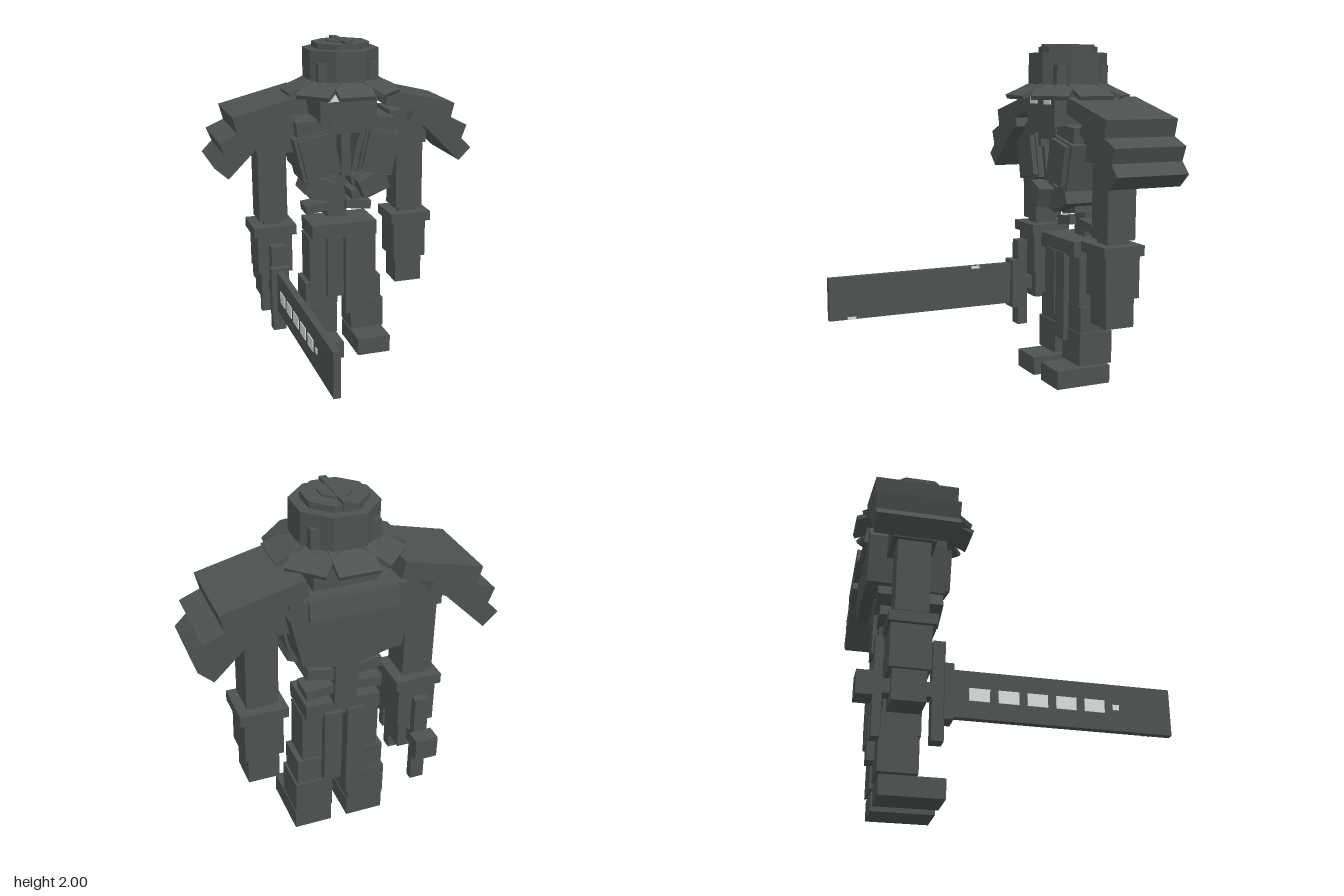
import * as THREE from 'three';

const stone = new THREE.MeshStandardMaterial({ color: 0x4c5251 });
stone.name = 'dark stone';
const glow = new THREE.MeshStandardMaterial({ color: 0xd9dcdb });
glow.name = 'pale glow';

export function createModel() {
  const model = new THREE.Group();
  model.name = 'stoneGuardian';

  const add = (name, geometry, material = stone) => {
    const mesh = new THREE.Mesh(geometry, material);
    mesh.name = name;
    model.add(mesh);
    return mesh;
  };
  // Box given by its limits on each axis, with an optional tilt about z
  const box = (name, x0, x1, y0, y1, z0, z1, tilt = 0, material = stone) => {
    const mesh = add(name, new THREE.BoxGeometry(x1 - x0, y1 - y0, z1 - z0), material);
    mesh.position.set((x0 + x1) / 2, (y0 + y1) / 2, (z0 + z1) / 2);
    mesh.rotation.z = tilt;
    return mesh;
  };
  // The same box on both sides; the tilt applies to the left (+x) one
  const pair = (name, x0, x1, y0, y1, z0, z1, tilt = 0, material = stone) => {
    box(name + 'Left', x0, x1, y0, y1, z0, z1, tilt, material);
    box(name + 'Right', -x1, -x0, y0, y1, z0, z1, -tilt, material);
  };
  // Front-facing outline extruded from z0 to z1
  const slab = (name, points, z0, z1) => {
    const shape = new THREE.Shape(points.map(([x, y]) => new THREE.Vector2(x, y)));
    const geometry = new THREE.ExtrudeGeometry(shape, { depth: z1 - z0, bevelEnabled: false });
    add(name, geometry.translate(0, 0, z0));
  };

  // Legs
  pair('foot', 0.048, 0.263, 0, 0.11, -0.67, -0.32);
  pair('ankle', 0.048, 0.263, 0.123, 0.32, -0.68, -0.465);
  pair('shin', 0.04, 0.25, 0.32, 0.475, -0.67, -0.475);
  pair('thigh', 0.03, 0.22, 0.475, 0.77, -0.66, -0.48);

  // Belt and hanging cloths
  box('belt', -0.208, 0.213, 0.77, 0.86, -0.7, -0.445);
  box('frontClothRight', -0.115, -0.01, 0.38, 0.78, -0.47, -0.435);
  box('frontClothLeft', 0.005, 0.112, 0.25, 0.78, -0.47, -0.435);
  box('backClothRight', -0.115, -0.015, 0.225, 0.8, -0.72, -0.68);
  box('backClothLeft', 0.015, 0.115, 0.35, 0.8, -0.72, -0.68);

  // Spine and lower ribs
  box('spine', -0.065, 0.062, 0.86, 1.5, -0.72, -0.6);
  box('sternum', -0.03, 0.03, 1.18, 1.52, -0.5, -0.4);
  pair('lowRib', 0.05, 0.215, 0.91, 0.965, -0.7, -0.56, -0.12);
  pair('midRib', 0.05, 0.21, 1.02, 1.08, -0.7, -0.45, 0.17);
  pair('highRib', 0.05, 0.24, 1.12, 1.18, -0.72, -0.46, 0.25);

  // Chest
  slab('back', [[-0.33, 1.46], [-0.27, 1.2], [0.27, 1.2], [0.33, 1.46], [0.25, 1.55], [-0.25, 1.55]], -0.79, -0.6);
  pair('chestPlate', 0.09, 0.31, 1.19, 1.46, -0.6, -0.355, -0.22);
  pair('chestFace', 0.105, 0.29, 1.21, 1.45, -0.36, -0.325, -0.22);
  pair('bellyPlate', 0.08, 0.26, 1.06, 1.18, -0.58, -0.36, 0.38);
  pair('innerRib', 0.055, 0.1, 1.2, 1.45, -0.52, -0.39, -0.2);
  pair('collarPlate', 0.05, 0.31, 1.45, 1.54, -0.72, -0.38, -0.08);
  pair('collarClasp', 0.075, 0.13, 1.4, 1.46, -0.42, -0.37, -0.1);
  const yoke = box('upperBack', -0.24, 0.24, 1.45, 1.55, -0.81, -0.68);
  yoke.rotation.x = 0.15;

  // Arms
  pair('shoulder', 0.3, 0.54, 1.34, 1.555, -0.69, -0.45);
  pair('upperArm', 0.355, 0.53, 0.91, 1.33, -0.66, -0.48);
  pair('elbow', 0.38, 0.5, 0.87, 0.92, -0.64, -0.5);
  pair('cuff', 0.31, 0.575, 0.825, 0.885, -0.695, -0.437);
  pair('forearm', 0.335, 0.55, 0.58, 0.825, -0.68, -0.462);
  pair('hand', 0.355, 0.53, 0.41, 0.58, -0.66, -0.48);

  // Three overlapping shoulder guards on each side
  const guards = [
    [[0.24, 1.61], [0.665, 1.485], [0.693, 1.593], [0.26, 1.7]],
    [[0.4, 1.5], [0.741, 1.355], [0.778, 1.45], [0.44, 1.59]],
    [[0.47, 1.485], [0.73, 1.228], [0.81, 1.302], [0.56, 1.555]],
  ];
  guards.forEach((points, i) => {
    slab('shoulderGuardLeft' + (i + 1), points, -0.81, -0.366);
    slab('shoulderGuardRight' + (i + 1), points.map(([x, y]) => [-x, y]).reverse(), -0.81, -0.366);
  });

  // Head and eyes
  box('neck', -0.11, 0.11, 1.45, 1.54, -0.65, -0.37);
  box('head', -0.178, 0.174, 1.53, 1.76, -0.68, -0.33);
  pair('eye', 0.045, 0.13, 1.655, 1.7, -0.331, -0.323, 0, glow);

  // Eight-sided hat crown and cap
  const hatZ = -0.505;
  const octagon = (name, flat, y0, y1) => {
    const r = flat / Math.cos(Math.PI / 8);
    const geometry = new THREE.CylinderGeometry(r, r, y1 - y0, 8).toNonIndexed();
    geometry.computeVertexNormals();
    const mesh = add(name, geometry);
    mesh.rotation.y = Math.PI / 8;
    mesh.position.set(0, (y0 + y1) / 2, hatZ);
  };
  octagon('hatCrown', 0.212, 1.73, 1.95);
  octagon('hatCap', 0.16, 1.95, 1.985);
  octagon('hatButton', 0.08, 1.985, 1.995);
  box('hatRidge', -0.02, 0.02, 1.95, 2, hatZ - 0.165, hatZ + 0.165);
  for (const z of [-0.37, -0.635]) pair('hatStud', 0.125, 0.185, 1.77, 1.88, z - 0.032, z + 0.032);

  // Brim of sloping plates
  for (let i = 0; i < 8; i++) {
    const arm = new THREE.Group();
    arm.name = 'brimPlate' + (i + 1);
    arm.position.set(0, 1.735, hatZ);
    arm.rotation.y = (i * Math.PI) / 4;
    const plate = new THREE.Mesh(new THREE.BoxGeometry(0.22, 0.025, 0.19), stone);
    plate.name = 'brimSlope';
    plate.position.z = 0.258;
    plate.rotation.x = 0.42;
    arm.add(plate);
    model.add(arm);
  }

  // Sword held forward in the right hand
  box('blade', -0.465, -0.425, 0.37, 0.63, -0.335, 0.85);
  box('bladeCollar', -0.5, -0.39, 0.345, 0.65, -0.385, -0.335);
  box('crossGuard', -0.485, -0.405, 0.228, 0.775, -0.445, -0.38);
  box('grip', -0.485, -0.405, 0.46, 0.54, -0.71, -0.44);
  box('rearGuard', -0.485, -0.405, 0.228, 0.775, -0.745, -0.7);
  box('pommel', -0.51, -0.38, 0.435, 0.565, -0.835, -0.745);

  // Glowing marks along the outer face of the blade, and nicks on its edges
  for (let i = 0; i < 5; i++) {
    const z = -0.25 + i * 0.155;
    box('bladeMark' + (i + 1), -0.47, -0.464, 0.465, 0.535, z, z + 0.11, 0, glow);
  }
  box('bladeMarkTip', -0.47, -0.464, 0.485, 0.515, 0.525, 0.56, 0, glow);
  box('upperNick', -0.426, -0.422, 0.614, 0.631, -0.12, -0.065, 0, glow);
  box('lowerNick', -0.426, -0.422, 0.369, 0.386, 0.685, 0.74, 0, glow);

  return model;
}
